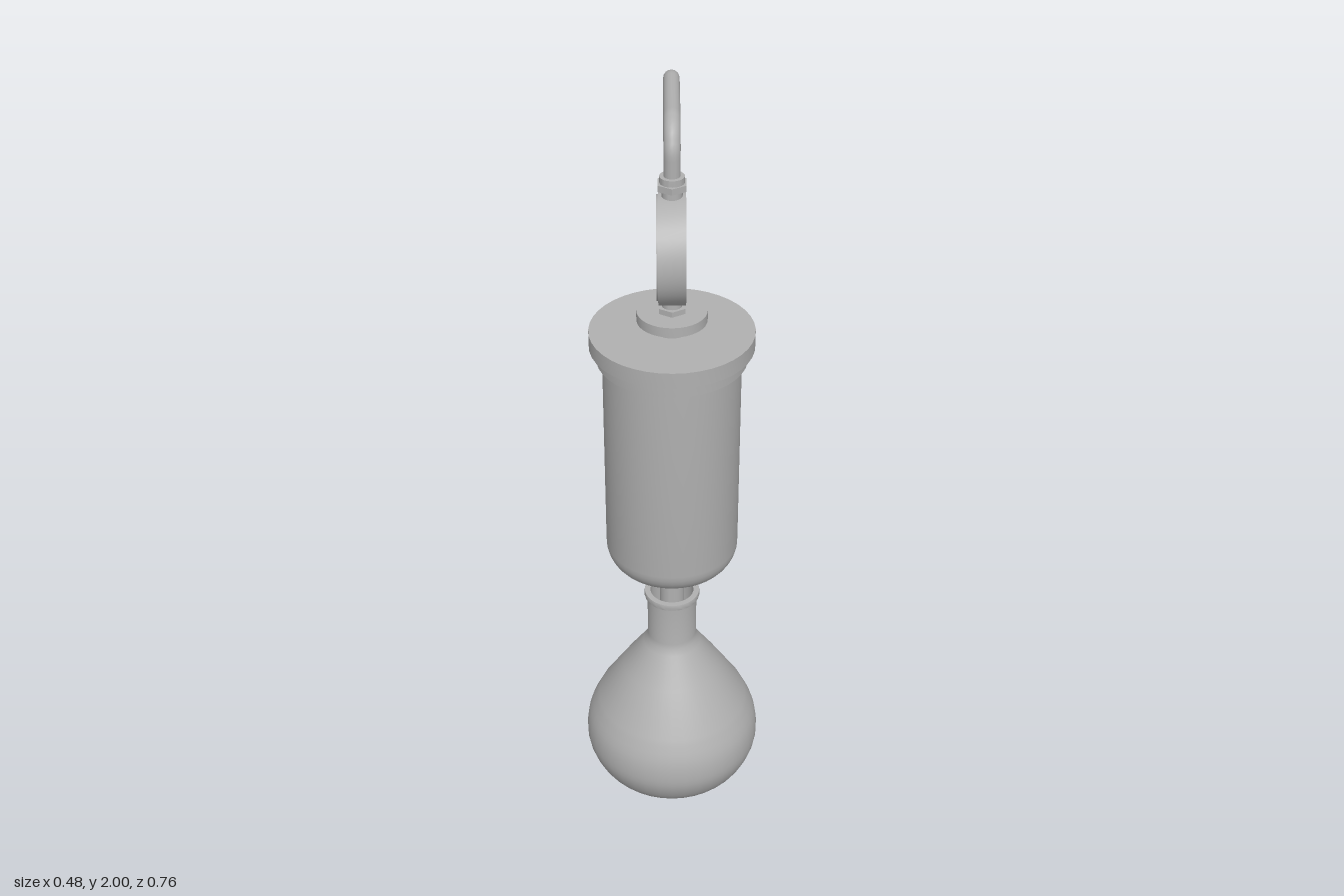
import * as THREE from 'three';
import { toCreasedNormals } from 'three/addons/utils/BufferGeometryUtils.js';

const AXIS_Z = 0.14;   // flask, chamber and gauge column
const PIPE_Z = -0.208; // standing pipe

export function createModel() {
  const model = new THREE.Group();
  const grey = new THREE.MeshStandardMaterial({ color: 0xb0b0b0 });
  grey.name = 'grey';

  const add = (name, geometry, x = 0, y = 0, z = 0) => {
    const mesh = new THREE.Mesh(geometry, grey);
    mesh.name = name;
    mesh.position.set(x, y, z);
    model.add(mesh);
    return mesh;
  };
  // Turned part; profile is [radius, height] from the bottom up
  const turned = (profile, sides = 32, crease = 0.5) => toCreasedNormals(
    new THREE.LatheGeometry(profile.map(([r, y]) => new THREE.Vector2(r, y)), sides), crease);
  // Plain round part between two heights
  const drum = (name, r, y0, y1, z, sides = 32) =>
    add(name, turned([[0, y0], [r, y0], [r, y1], [0, y1]], sides), 0, 0, z);

  // Open flask with rounded belly, narrow neck and a thin lip
  const belly = new THREE.SplineCurve([
    [0.125, 0.005], [0.17, 0.02], [0.21, 0.06], [0.235, 0.115], [0.239, 0.165],
    [0.23, 0.215], [0.205, 0.27],
  ].map((p) => new THREE.Vector2(...p))).getPoints(18).map((p) => [p.x, p.y]);
  add('flask', turned([
    [0, 0], [0.1, 0], ...belly, [0.135, 0.38], [0.078, 0.463], [0.069, 0.48], [0.066, 0.495],
    [0.066, 0.615], [0.073, 0.62], [0.075, 0.628], [0.073, 0.637], [0.058, 0.637],
    [0.058, 0.49], [0, 0.44],
  ], 40, 0.6), 0, 0, AXIS_Z);

  // Outlet stem reaching into the flask
  drum('outletStem', 0.033, 0.56, 0.725, AXIS_Z);
  drum('outletCollar', 0.056, 0.72, 0.745, AXIS_Z);

  // Chamber with a rounded lower end
  const bottom = [];
  for (let i = 0; i <= 8; i++) {
    const a = (i / 8) * Math.PI / 2;
    bottom.push([0.1 + 0.073 * Math.sin(a), 0.812 - 0.073 * Math.cos(a)]);
  }
  add('chamber', turned([[0, 0.739], ...bottom, [0.173, 1.38], [0, 1.38]], 40), 0, 0, AXIS_Z);
  drum('lowerFlange', 0.188, 1.372, 1.408, AXIS_Z, 40);
  drum('upperFlange', 0.205, 1.408, 1.45, AXIS_Z, 40);

  // Fittings between the lid and the gauge
  drum('lidNeck', 0.044, 1.45, 1.48, AXIS_Z);
  drum('lidDisc', 0.087, 1.478, 1.504, AXIS_Z);
  drum('gaugeLowerNut', 0.037, 1.504, 1.518, AXIS_Z, 6);
  drum('gaugeLowerStem', 0.025, 1.51, 1.56, AXIS_Z);

  // Round gauge, its recessed dial facing -x
  const gauge = add('gauge', turned([
    [0, -0.033], [0.137, -0.033], [0.137, 0.033], [0.126, 0.033],
    [0.126, 0.037], [0.115, 0.037], [0.115, 0.025], [0, 0.025],
  ], 40), 0, 1.675, AXIS_Z);
  gauge.rotation.z = Math.PI / 2;

  drum('gaugeUpperStem', 0.025, 1.79, 1.84, AXIS_Z);
  drum('pipeNut', 0.039, 1.83, 1.846, AXIS_Z, 6);
  drum('pipeCollar', 0.03, 1.846, 1.862, AXIS_Z);

  // Pipe bent over the top and down to the floor
  const P = (y, z) => new THREE.Vector3(0, y, z);
  const TOP = 1.98, BEND = 0.07;
  const path = new THREE.CurvePath();
  path.add(new THREE.LineCurve3(P(1.84, AXIS_Z), P(TOP - BEND, AXIS_Z)));
  // Quarter bend with its centre at (y, z), from one angle to the next
  const bend = (y, z, from) => {
    let last = null;
    for (let i = 0; i <= 8; i++) {
      const a = from + (i / 8) * Math.PI / 2;
      const p = P(y + BEND * Math.sin(a), z + BEND * Math.cos(a));
      if (last) path.add(new THREE.LineCurve3(last, p));
      last = p;
    }
  };
  bend(TOP - BEND, AXIS_Z - BEND, 0);
  path.add(new THREE.LineCurve3(P(TOP, AXIS_Z - BEND), P(TOP, PIPE_Z + BEND)));
  bend(TOP - BEND, PIPE_Z + BEND, Math.PI / 2);
  path.add(new THREE.LineCurve3(P(TOP - BEND, PIPE_Z), P(0.01, PIPE_Z)));
  add('pipe', new THREE.TubeGeometry(path, 220, 0.02, 16, false));

  // Pipe rings and foot
  drum('upperRing', 0.029, 1.658, 1.682, PIPE_Z, 16);
  drum('lowerRing', 0.033, 1.49, 1.516, PIPE_Z, 16);
  drum('footSocket', 0.033, 0.01, 0.064, PIPE_Z, 16);
  drum('footPlate', 0.053, 0, 0.015, PIPE_Z, 12);

  // Valve lever pointing back from the upper ring
  const lever = add('valveLever', turned([
    [0, 0.02], [0.005, 0.02], [0.005, 0.062], [0.009, 0.062], [0.009, 0.068],
    [0.005, 0.068], [0.005, 0.09], [0.012, 0.09], [0.009, 0.177], [0, 0.177],
  ], 12), 0, 1.669, PIPE_Z);
  lever.rotation.x = -Math.PI / 2;

  return model;
}
